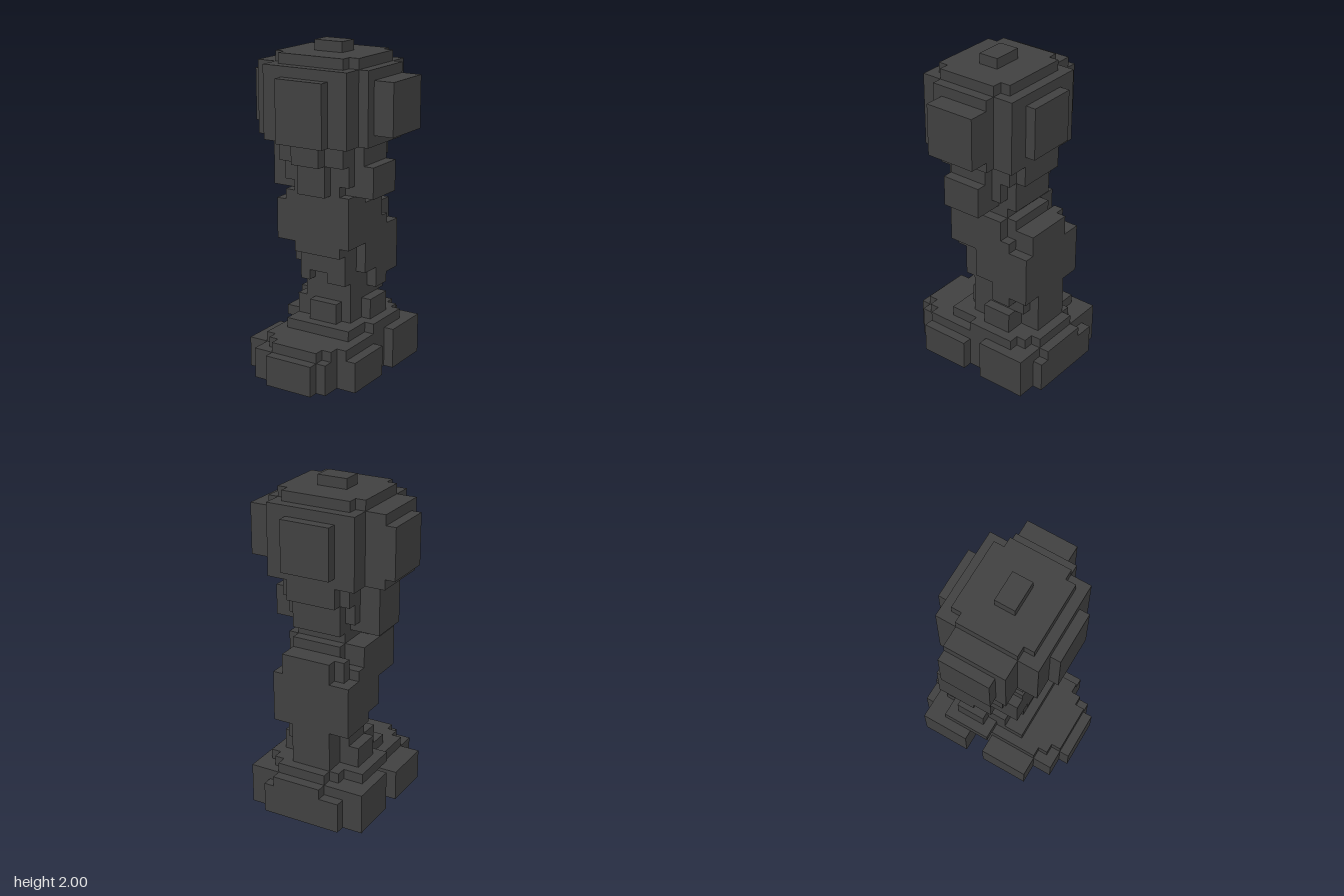
import * as THREE from 'three';

const U = 0.0625; // one block

export function createModel() {
  const model = new THREE.Group();
  model.name = 'blockStatue';
  const stone = new THREE.MeshStandardMaterial({ color: 0x404040 });
  stone.name = 'darkStone';

  // Each box: x0, x1, y0, y1, z0, z1 in blocks
  const part = (name, boxes) => {
    const group = new THREE.Group();
    group.name = name;
    boxes.forEach(([x0, x1, y0, y1, z0, z1], i) => {
      const mesh = new THREE.Mesh(
        new THREE.BoxGeometry((x1 - x0) * U, (y1 - y0) * U, (z1 - z0) * U), stone);
      mesh.position.set((x0 + x1) * U / 2, (y0 + y1) * U / 2, (z0 + z1) * U / 2);
      mesh.name = name + 'Block' + (i + 1);
      group.add(mesh);
    });
    model.add(group);
  };

  // Stepped foot with a notch in each side
  part('base', [
    [-4.5, 4.5, 0, 4, -7, 5],
    [-6.5, 5.5, 0, 4, -7, -2],
    [-6.5, 5.5, 0, 3, 0, 5],
    [-4.5, 3.5, 0, 3, 5, 7],
    [-3.5, 3.5, 3, 4, 5, 6],
    [-2.5, 2.5, 3, 4, 5, 7],
    [-2.5, 2.5, 0, 3, 7, 8],
    [-4.5, 3.5, 0, 3, -8, -7],
    [-2.5, 2.5, 3, 4, -8, -7],
  ]);
  part('baseTop', [
    [-3.5, 3.5, 4, 5, -6, 3],
    [-5.5, 4.5, 4, 5, -5, 0],
    [-2.5, 2.5, 4, 5, -7, -6],
  ]);

  // Narrow lower stem
  part('stem', [
    [-3.5, 2.5, 5, 7, -4, 1],
    [-1.5, 1.5, 5, 7, 1, 2],
    [1.5, 3.5, 5, 7, -4, -1],
    [-4.5, -2.5, 5, 7, -4, -1],
    [-2.5, 1.5, 5, 9, -6, -1],
    [-2.5, 2.5, 7, 9, -5, 1],
    [-3.5, 2.5, 7, 9, -4, -1],
    [-3.5, 3.5, 8, 9, -4, -2],
    [-1.5, 0.5, 9, 10, -2, 1],
    [-2.5, -1.5, 9, 10, -2, 2],
    [0.5, 2.5, 9, 10, -2, 2],
    [-2.5, 2.5, 10, 12, -2, 2],
  ]);

  // Torso leaning towards the back as it goes down
  part('torso', [
    [-4.5, 3.5, 9, 10, -6, -2],
    [-4.5, 3.5, 10, 13, -6, 0],
    [-2.5, 2.5, 12, 13, 0, 3],
    [-4.5, 3.5, 13, 14, -6, 3],
    [-4.5, 3.5, 14, 15, -4, 3],
    [-4.5, 3.5, 15, 17, -3, 3],
    [-3.5, 3.5, 17, 18, 0, 3],
    [-2.5, 2.5, 14, 16, -6, -4],
    [-3.5, 2.5, 14, 16, -5, -4],
    [-2.5, 2.5, 15, 17, -4, -3],
    [-2.5, 2.5, 17, 18, -3, 0],
  ]);

  // Neck with cheeks on the sides and chin blocks front and back
  part('neck', [
    [-3.5, 3.5, 19, 23, -3, 3],
    [-2.5, 2.5, 18, 19, -3, 3],
    [-5.5, -2.5, 18, 23, -2, 2],
    [2.5, 5.5, 18, 21, -2, 2],
    [3.5, 4.5, 21, 23, -2, 2],
    [-1.5, 1.5, 18, 21, 3, 4],
    [-2.5, 2.5, 18, 21, -4, -3],
    [-3.5, 3.5, 21, 23, -4, 4],
    [-1.5, 1.5, 21, 23, 4, 5],
    [-2.5, 2.5, 21, 23, -5, -4],
  ]);

  // Head with raised plates on all four sides
  part('head', [
    [-4.5, 4.5, 23, 30, -5, 5],
    [-6.5, 5.5, 23, 30, -3, 3],
  ]);
  part('facePlate', [[-2.5, 2.5, 23, 29, 5, 6]]);
  part('backPlate', [[-2.5, 2.5, 24, 29, -6, -5]]);
  part('leftEar', [[5.5, 7.5, 24, 29, -3, 2]]);
  part('rightEar', [[-7.5, -6.5, 24, 29, -3, 2]]);
  part('crown', [
    [-3.5, 3.5, 30, 31, -4, 4],
    [-4.5, 4.5, 30, 31, -3, 3],
  ]);
  part('topKnob', [[-1.5, 1.5, 31, 32, -1, 1]]);

  return model;
}
